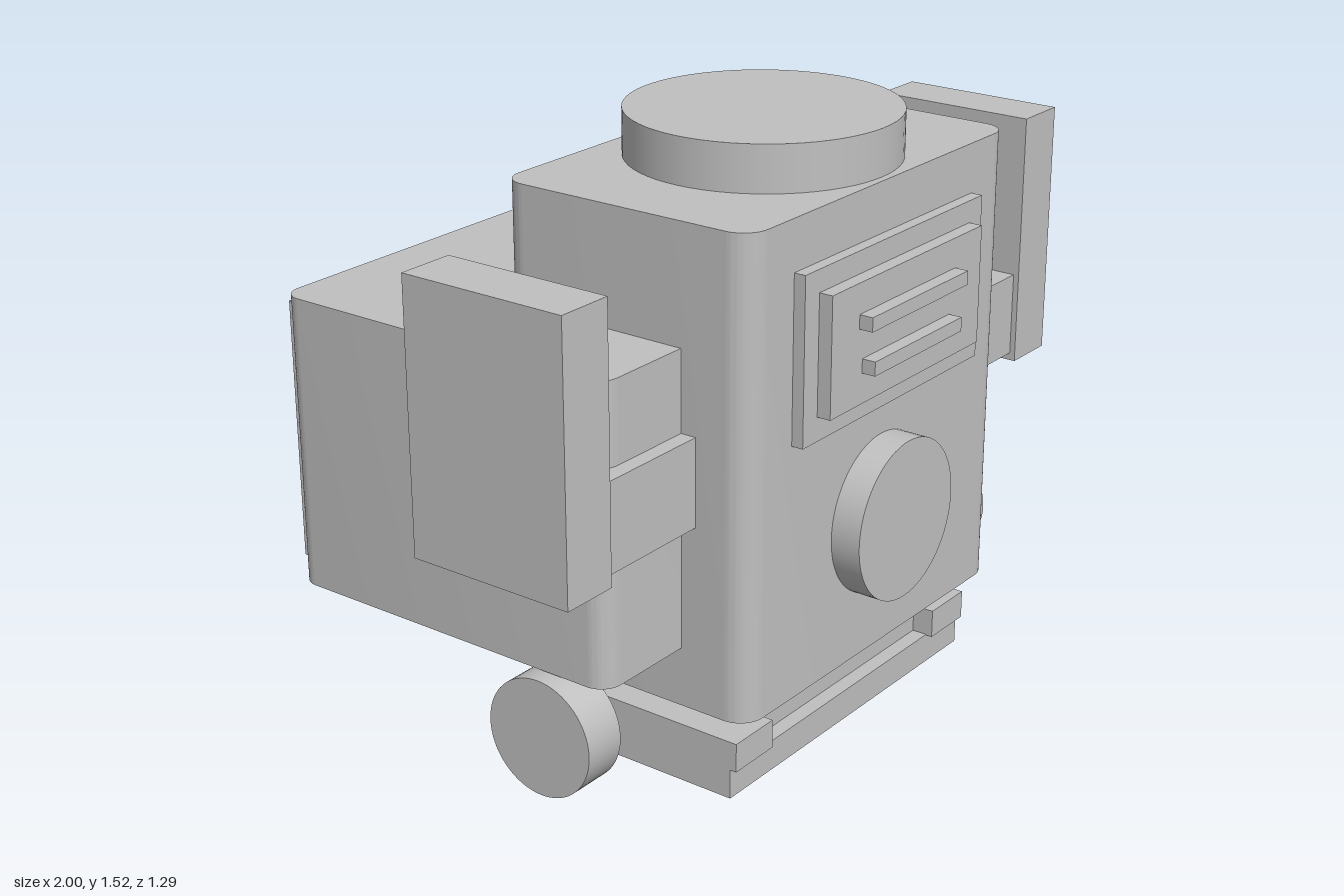
import * as THREE from 'three';
import { toCreasedNormals } from 'three/addons/utils/BufferGeometryUtils.js';

const grey = new THREE.MeshStandardMaterial({ color: 0xc0c0c0 });
grey.name = 'light grey';

export function createModel() {
  const model = new THREE.Group();
  model.name = 'robot';

  const add = (name, geometry) => {
    const mesh = new THREE.Mesh(geometry, grey);
    mesh.name = name;
    model.add(mesh);
    return mesh;
  };

  // Box given by its limits on each axis
  const box = (name, [x0, x1], [y0, y1], [z0, z1]) =>
    add(name, new THREE.BoxGeometry(x1 - x0, y1 - y0, z1 - z0))
      .position.set((x0 + x1) / 2, (y0 + y1) / 2, (z0 + z1) / 2);

  // Upright block with rounded vertical edges
  const roundedBlock = (name, w, [y0, y1], [z0, z1], r) => {
    const d = (z1 - z0) / 2;
    const s = new THREE.Shape();
    s.absarc(w - r, d - r, r, 0, Math.PI / 2);
    s.absarc(r - w, d - r, r, Math.PI / 2, Math.PI);
    s.absarc(r - w, r - d, r, Math.PI, Math.PI * 1.5);
    s.absarc(w - r, r - d, r, Math.PI * 1.5, Math.PI * 2);
    s.closePath();
    const g = new THREE.ExtrudeGeometry(s, { depth: y1 - y0, bevelEnabled: false, curveSegments: 10 });
    g.rotateX(-Math.PI / 2);
    add(name, toCreasedNormals(g, 0.6)).position.set(0, y0, (z0 + z1) / 2);
  };

  const disc = (name, r, thickness) => add(name, new THREE.CylinderGeometry(r, r, thickness, 64));

  // Torso and head cap
  roundedBlock('torso', 0.535, [0.225, 1.405], [-0.155, 0.545], 0.065);
  disc('headCap', 0.332, 0.125).position.set(0, 1.4575, 0.195);
  box('rearTrim', [-0.425, 0.425], [1.1, 1.185], [-0.18, -0.1]);

  // Backpack with its rear panel and corner strips
  roundedBlock('backpack', 0.812, [0.375, 1.112], [-0.6, 0.36], 0.055);
  box('backpackInset', [-0.79, 0.79], [0.435, 1.09], [-0.598, -0.5]);
  box('rearPanel', [-0.72, 0.72], [0.49, 1.03], [-0.642, -0.59]);

  // Chest panel, slats and round badge
  box('chestFrame', [-0.37, 0.37], [0.87, 1.28], [0.5, 0.575]);
  box('chestPanel', [-0.315, 0.315], [0.93, 1.225], [0.55, 0.61]);
  box('upperSlat', [-0.205, 0.2], [1.115, 1.15], [0.6, 0.645]);
  box('lowerSlat', [-0.19, 0.18], [1.005, 1.04], [0.6, 0.645]);
  const dial = disc('chestDial', 0.202, 0.1);
  dial.rotation.x = Math.PI / 2;
  dial.position.set(0, 0.577, 0.573);

  // Pedestal
  box('neck', [-0.37, 0.37], [0.075, 0.23], [-0.045, 0.435]);
  box('basePlate', [-0.5, 0.5], [0, 0.078], [-0.08, 0.475]);

  // Mirrored arms, shields, wheels and base rails
  for (const [side, s] of [['left', 1], ['right', -1]]) {
    const span = (a, b) => (s > 0 ? [a, b] : [-b, -a]);
    box(side + 'Arm', span(0.5, 0.86), [0.69, 0.91], [-0.01, 0.4]);
    box(side + 'Shield', span(0.853, 1), [0.67, 1.335], [-0.025, 0.415]);
    box(side + 'BaseRail', span(0.355, 0.5), [0.076, 0.15], [-0.1, 0.492]);
    const wheel = disc(side + 'Wheel', 0.147, 0.112);
    wheel.rotation.z = Math.PI / 2;
    wheel.position.set(s * 0.796, 0.225, 0.195);
  }
  return model;
}
